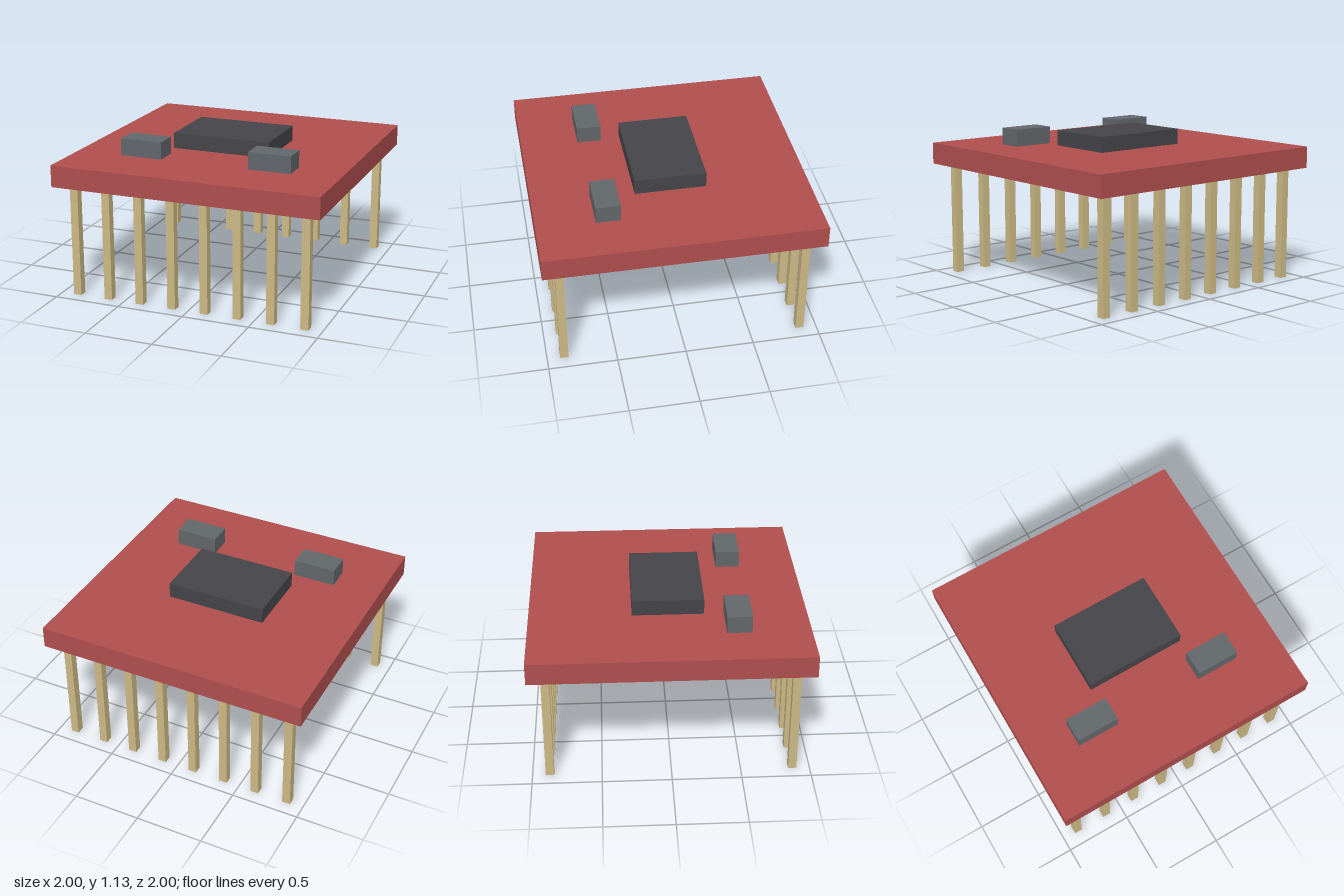
import * as THREE from 'three';

const material = (name, color) => {
  const m = new THREE.MeshStandardMaterial({ color });
  m.name = name;
  return m;
};

export function createModel() {
  const group = new THREE.Group();
  const red = material('board red', 0xb04e4e);
  const charcoal = material('chip charcoal', 0x454448);
  const slate = material('component slate', 0x62676b);
  const brass = material('pin brass', 0xccb985);

  // Box given by its size, centre x and z, and bottom height
  const addBox = (name, mat, [w, h, d], x, bottom, z) => {
    const mesh = new THREE.Mesh(new THREE.BoxGeometry(w, h, d), mat);
    mesh.name = name;
    mesh.position.set(x, bottom + h / 2, z);
    group.add(mesh);
  };

  // Circuit board and main chip
  addBox('board', red, [2, 0.16, 2], 0, 0.84, 0);
  addBox('chip', charcoal, [0.745, 0.115, 0.52], 0, 1, 0);

  // Pair of small components near the front
  for (const side of [-1, 1]) {
    addBox(side > 0 ? 'leftComponent' : 'rightComponent', slate, [0.316, 0.126, 0.178], side * 0.492, 1, 0.49);
  }

  // Two rows of eight pins
  for (const side of [-1, 1]) {
    for (let i = 0; i < 8; i++) {
      addBox(`${side > 0 ? 'front' : 'back'}Pin${i + 1}`, brass, [0.06, 0.84, 0.06], -0.875 + i * 0.25, 0, side * 0.875);
    }
  }
  return group;
}
